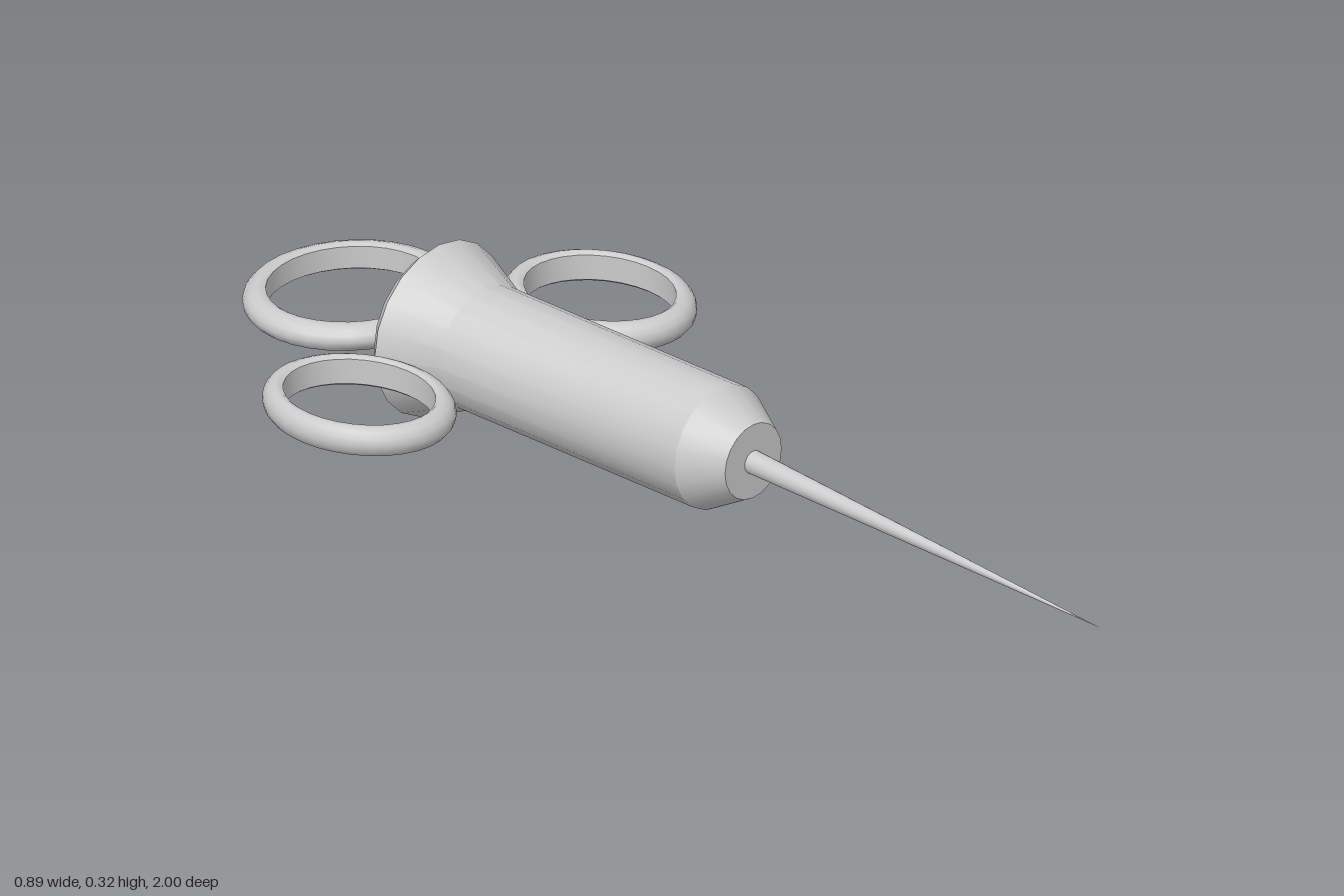
import * as THREE from 'three';
import { toCreasedNormals } from 'three/addons/utils/BufferGeometryUtils.js';

const AXIS_Y = 0.16;
const material = new THREE.MeshStandardMaterial({ color: 0xcccccc });

function lathe(points, segments, crease) {
  const profile = points.map(([r, h]) => new THREE.Vector2(r, h));
  return toCreasedNormals(new THREE.LatheGeometry(profile, segments), crease);
}

function addPart(group, name, geometry, x, y, z) {
  const mesh = new THREE.Mesh(geometry, material);
  mesh.name = name;
  mesh.position.set(x, y, z);
  group.add(mesh);
  return mesh;
}

// Oval finger ring: straight inner wall, rounded outer edge
function ringGeometry(rx, rz, height) {
  const inner = 0.785;
  const section = [
    [inner, -0.42], [0.82, -0.5], [0.87, -0.5], [0.94, -0.4], [0.985, -0.22], [1, 0],
    [0.985, 0.22], [0.94, 0.4], [0.87, 0.5], [0.82, 0.5], [inner, 0.42], [inner, -0.42],
  ].map(([r, h]) => [r * rx, h * height]);
  const geometry = new THREE.LatheGeometry(section.map(([r, h]) => new THREE.Vector2(r, h)), 32);
  geometry.scale(1, 1, rz / rx);
  return toCreasedNormals(geometry, 0.8);
}

export function createModel() {
  const group = new THREE.Group();
  group.name = 'syringe';

  // Barrel with chamfered nose and flared rear flange
  const barrel = lathe([
    [0, -0.63], [0.138, -0.63], [0.162, -0.605], [0.115, -0.495],
    [0.115, 0.075], [0.071, 0.155], [0, 0.155],
  ], 20, 0.45);
  barrel.rotateX(Math.PI / 2);
  addPart(group, 'barrel', barrel, 0, AXIS_Y + 0.002, 0);

  // Tapered needle, drooping slightly toward the tip
  const needle = new THREE.ConeGeometry(0.022, 0.86, 16);
  needle.translate(0, 0.43, 0);
  needle.rotateX(Math.PI / 2 + 0.043);
  addPart(group, 'needle', needle, 0, 0.161, 0.14);

  // Finger rings on both sides and thumb ring at the rear
  const finger = ringGeometry(0.153, 0.184, 0.056);
  addPart(group, 'leftFingerRing', finger, 0.292, 0.149, -0.498);
  addPart(group, 'rightFingerRing', finger, -0.296, 0.149, -0.513);
  addPart(group, 'thumbRing', ringGeometry(0.2, 0.183, 0.05), 0, 0.154, -0.817);

  return group;
}
